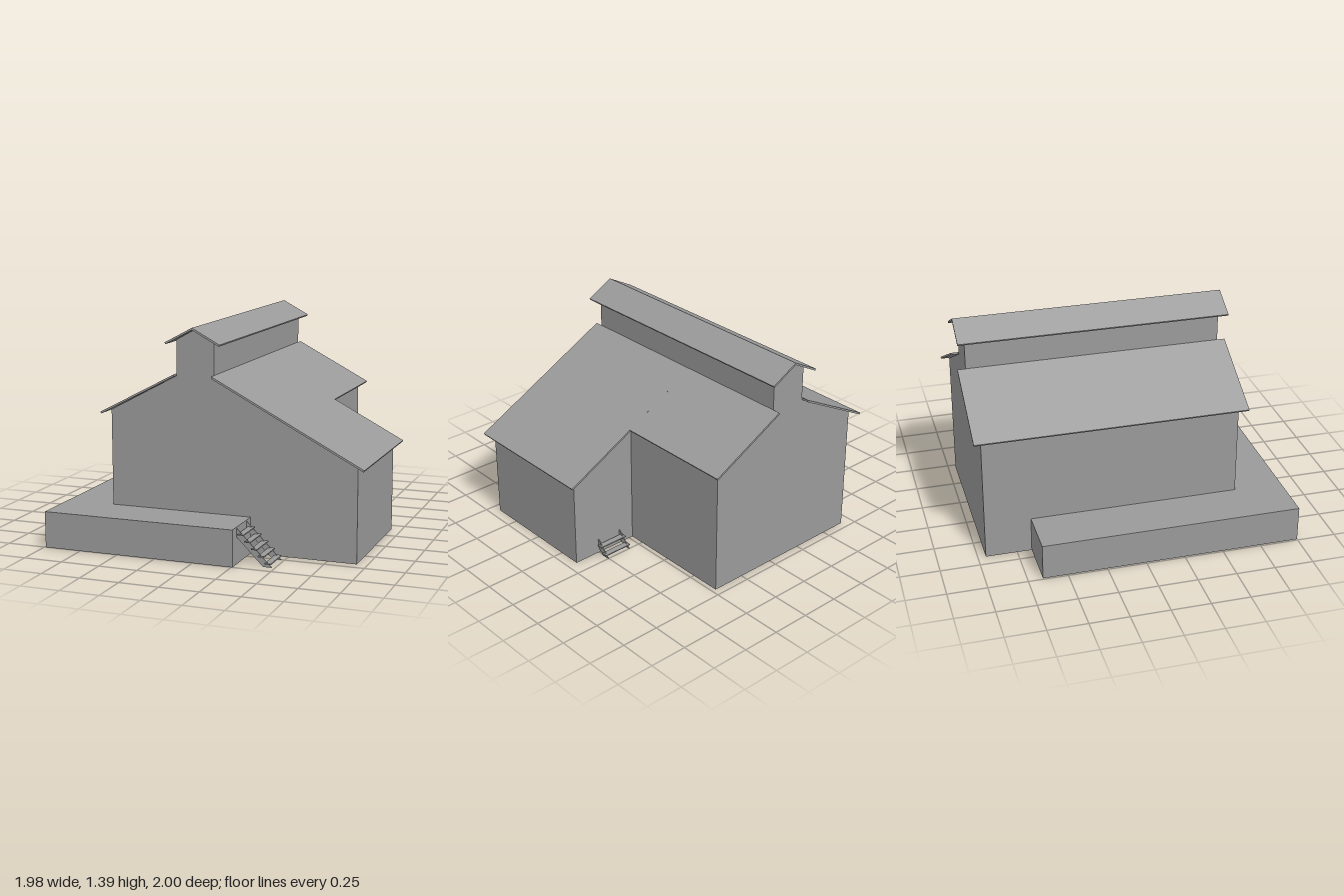
import * as THREE from 'three';

const material = new THREE.MeshStandardMaterial({ color: 0x9a9a9a, flatShading: true, side: THREE.DoubleSide });

function shapeOf(points) {
  return new THREE.Shape(points.map(([x, y]) => new THREE.Vector2(x, y)));
}

function add(parent, name, geometry) {
  const mesh = new THREE.Mesh(geometry, material);
  mesh.name = name;
  parent.add(mesh);
  return mesh;
}

// Flat panel in the x-y plane at depth z
function panel(parent, name, points, z) {
  add(parent, name, new THREE.ShapeGeometry(shapeOf(points))).position.z = z;
}

// Upright wall along z at a given x
function sideWall(parent, name, x, y0, y1, z0, z1) {
  const wall = add(parent, name, new THREE.PlaneGeometry(Math.abs(z1 - z0), y1 - y0));
  wall.rotation.y = Math.PI / 2;
  wall.position.set(x, (y0 + y1) / 2, (z0 + z1) / 2);
}

// Profile in x-y, extruded from z0 to z1
function extrude(parent, name, points, z0, z1) {
  const geometry = new THREE.ExtrudeGeometry(shapeOf(points), { depth: z1 - z0, bevelEnabled: false });
  geometry.translate(0, 0, z0);
  add(parent, name, geometry);
}

// Thin sloping roof slab from its high edge to its eave
function roofSlab(parent, name, [xa, ya], [xb, yb], z0, z1) {
  const length = Math.hypot(xb - xa, yb - ya), t = 0.012;
  const s = xb > xa ? 1 : -1;
  const nx = (s * (yb - ya) / length) * t, ny = (-Math.abs(xb - xa) / length) * t;
  extrude(parent, name, [[xa, ya], [xb, yb], [xb + nx, yb + ny], [xa, ya - t * 1.13]], z0, z1);
}

// Steps descending along +x from a platform edge of the given height
function steps(name, height, count, width) {
  const group = new THREE.Group();
  group.name = name;
  const band = 0.055;
  for (const side of [-1, 1]) {
    const z = side * (width / 2 - 0.014);
    extrude(group, 'stringer',
      [[0, height - band], [height - band, 0], [height, 0], [0, height]], z - 0.003, z + 0.003);
  }
  for (let i = 0; i < count; i++) {
    const tread = add(group, 'tread', new THREE.BoxGeometry(0.04, 0.007, width));
    tread.position.set(0.028 + i * 0.043, height - 0.037 - i * 0.0405, 0);
  }
  return group;
}

export function createModel() {
  const model = new THREE.Group();
  const front = 0.685, back = -0.95, notch = -0.153;
  const left = -0.67, right = 0.935, inner = 0.472;
  const cl = -0.225, cr = 0.022, ridge = -0.102;

  // Walls, open underneath
  const walls = new THREE.Group();
  walls.name = 'walls';
  model.add(walls);
  const crown = [[cr, 1.081], [cr, 1.303], [ridge, 1.371], [cl, 1.303], [cl, 1.081], [left, 0.844], [left, 0]];
  panel(walls, 'frontGable', [[right, 0], [right, 0.601], ...crown], front);
  panel(walls, 'backGable', [[inner, 0], [inner, 0.843], ...crown], back);
  panel(walls, 'extensionBackWall', [[inner, 0], [right, 0], [right, 0.601], [inner, 0.843]], notch);
  sideWall(walls, 'longSideWall', left, 0, 0.844, back, front);
  sideWall(walls, 'extensionSideWall', right, 0, 0.601, notch, front);
  sideWall(walls, 'shortSideWall', inner, 0, 0.843, back, notch);
  for (const x of [cl, cr]) sideWall(walls, 'clerestoryWall', x, 1.081, 1.303, back, front);

  // Roofs
  const roof = new THREE.Group();
  roof.name = 'roof';
  model.add(roof);
  const z0 = -1, z1 = 0.735, zn = -0.205;
  roofSlab(roof, 'leftRoof', [cl, 1.095], [-0.724, 0.833], z0, z1);
  roofSlab(roof, 'rightRoofBack', [cr, 1.095], [0.522, 0.833], z0, zn);
  roofSlab(roof, 'rightRoofFront', [cr, 1.095], [0.987, 0.59], zn, z1);
  roofSlab(roof, 'clerestoryRoofLeft', [ridge, 1.386], [-0.281, 1.29], z0, z1);
  roofSlab(roof, 'clerestoryRoofRight', [ridge, 1.386], [0.077, 1.29], z0, z1);

  // L-shaped porch: deck and skirt walls
  const porch = new THREE.Group();
  porch.name = 'porch';
  model.add(porch);
  const h = 0.23, px = -0.99, pr = 0.258, pb = -0.657;
  const deck = add(porch, 'deck', new THREE.ShapeGeometry(
    shapeOf([[px, -1], [pr, -1], [pr, -front], [left, -front], [left, -pb], [px, -pb]])));
  deck.rotation.x = -Math.PI / 2;
  deck.position.y = h;
  panel(porch, 'frontSkirt', [[px, 0], [pr, 0], [pr, h], [px, h]], 1);
  panel(porch, 'backSkirt', [[px, 0], [left, 0], [left, h], [px, h]], pb);
  sideWall(porch, 'outerSkirt', px, 0, h, pb, 1);
  sideWall(porch, 'stepSkirt', pr, 0, h, front, 1);

  // Steps
  const porchSteps = steps('porchSteps', 0.222, 5, 0.2);
  porchSteps.position.set(pr, 0, 0.838);
  model.add(porchSteps);
  const backSteps = steps('backSteps', 0.1, 2, 0.2);
  backSteps.rotation.y = Math.PI / 2;
  backSteps.position.set(0.667, 0, notch);
  model.add(backSteps);

  return model;
}
